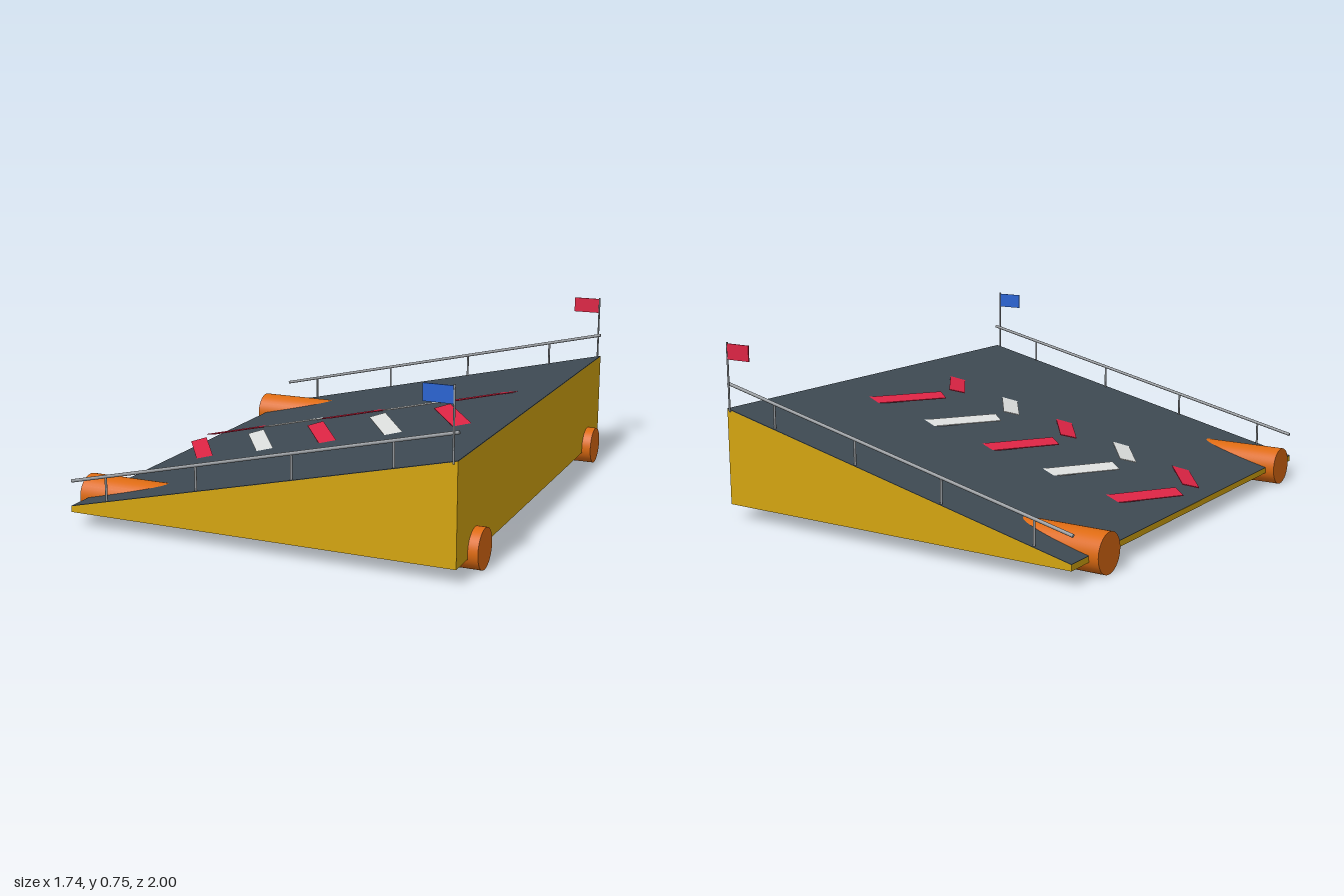
import * as THREE from 'three';

const mat = (name, color, side = THREE.FrontSide) => {
  const m = new THREE.MeshStandardMaterial({ color, side });
  m.name = name;
  return m;
};

export function createModel() {
  const root = new THREE.Group();
  root.name = 'floatingRamp';
  const yellow = mat('yellow', 0xd4a510);
  const slate = mat('slate', 0x3e4a53);
  const orange = mat('orange', 0xdc6a12);
  const red = mat('red', 0xdc2444);
  const white = mat('white', 0xdcdedd);
  const steel = mat('steel', 0x969a9e);
  const blue = mat('blue', 0x2a64d2);

  const add = (name, geometry, material, x = 0, y = 0, z = 0) => {
    const mesh = new THREE.Mesh(geometry, material);
    mesh.name = name;
    mesh.position.set(x, y, z);
    root.add(mesh);
    return mesh;
  };

  // Sloping deck line
  const X = 0.828, Z = 0.992, LOW = 0.084, HIGH = 0.466, BASE = 0.06;
  const slope = Math.atan2(HIGH - LOW, 2 * X);
  const deckY = (x) => LOW + (x + X) * Math.tan(slope);

  // Wedge hull
  const profile = new THREE.Shape([
    new THREE.Vector2(-X, BASE), new THREE.Vector2(X, BASE),
    new THREE.Vector2(X, HIGH), new THREE.Vector2(-X, LOW),
  ]);
  add('hull', new THREE.ExtrudeGeometry(profile, { depth: 2 * Z, bevelEnabled: false }), yellow, 0, 0, -Z);

  // Deck covering
  const deck = add('deck', new THREE.BoxGeometry(2 * X / Math.cos(slope), 0.003, 2 * Z), slate, 0, deckY(0) + 0.0005, 0);
  deck.rotation.z = slope;

  for (const side of [1, -1]) {
    // Pontoon tube
    const tube = new THREE.CylinderGeometry(0.0815, 0.0815, 1.736, 40).rotateZ(Math.PI / 2);
    add('pontoon', tube, orange, 0, 0.0815, side * 0.79);

    // Handrail and its posts
    const rail = add('handrail', new THREE.CylinderGeometry(0.007, 0.007, 2 * X / Math.cos(slope), 10).rotateZ(Math.PI / 2),
      steel, 0, deckY(0) + 0.104, side * 0.98);
    rail.rotation.z = slope;
    for (let i = 0; i < 4; i++) {
      const x = -0.664 + i * 0.414;
      add('railPost', new THREE.CylinderGeometry(0.005, 0.005, 0.104, 8), steel, x, deckY(x) + 0.052, side * 0.98);
    }

    // Corner flag
    add('flagPole', new THREE.CylinderGeometry(0.004, 0.004, 0.29, 8), steel, 0.812, 0.6, side * 0.995);
    add('flag', new THREE.BoxGeometry(0.118, 0.066, 0.005), side > 0 ? blue : red, 0.752, 0.707, side * 0.995);

    // Chevron bars, sinking into the deck at their outer ends
    for (let i = 0; i < 5; i++) {
      const bar = add('chevronBar', new THREE.BoxGeometry(0.072, 0.004, 0.34), i % 2 ? white : red,
        -0.68 + i * 0.2985, 0.136 + i * 0.0695, side * 0.192);
      bar.rotation.set(0, side * 0.61, slope);
    }
  }
  return root;
}
